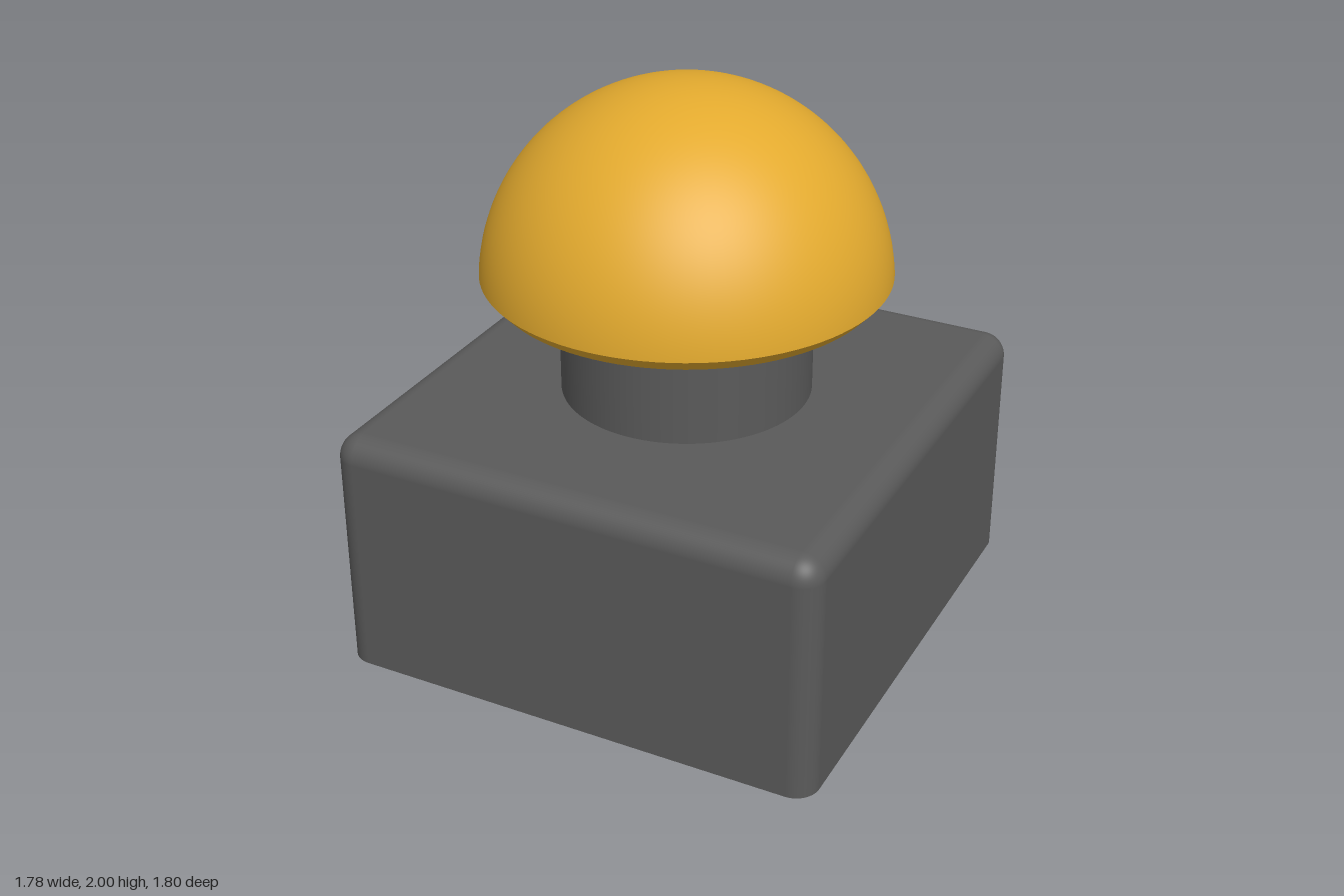
import * as THREE from 'three';
import { RoundedBoxGeometry } from 'three/addons/geometries/RoundedBoxGeometry.js';

const DARK = new THREE.MeshStandardMaterial({ color: 0x5a5a5a });
const GOLD = new THREE.MeshStandardMaterial({ color: 0xe3aa2e });

function addPart(parent, name, geometry, material, y) {
  const mesh = new THREE.Mesh(geometry, material);
  mesh.name = name;
  mesh.position.y = y;
  parent.add(mesh);
  return mesh;
}

// Block with rounded top and upright edges; the lower rounding is pressed flat
function baseGeometry(width, height, depth, radius) {
  const geo = new RoundedBoxGeometry(width, height + radius, depth, 8, radius);
  geo.translate(0, (height - radius) / 2, 0);
  const pos = geo.attributes.position;
  const normal = geo.attributes.normal;
  for (let i = 0; i < pos.count; i += 3) {
    const corners = [i, i + 1, i + 2];
    const isBottom = corners.every((v) => pos.getY(v) < 1e-4);
    for (const v of corners) {
      if (pos.getY(v) < 1e-4) pos.setY(v, 0);
      if (isBottom) normal.setXYZ(v, 0, -1, 0);
    }
  }
  return geo;
}

export function createModel() {
  const model = new THREE.Group();
  model.name = 'pushButton';

  addPart(model, 'base', baseGeometry(1.78, 0.89, 1.8, 0.085), DARK, 0);

  // Stem between base and cap
  addPart(model, 'stem', new THREE.CylinderGeometry(0.44, 0.44, 0.4, 96), DARK, 1.09);

  // Domed cap with a chamfered lower rim
  const radius = 0.71, bottom = 1.29, chamfer = 0.045;
  const rimRadius = Math.sqrt(radius ** 2 - chamfer ** 2);
  const cap = new THREE.Group();
  cap.name = 'cap';
  model.add(cap);
  const dome = new THREE.SphereGeometry(radius, 96, 40, 0, Math.PI * 2, 0, Math.acos(chamfer / radius));
  addPart(cap, 'dome', dome, GOLD, bottom);
  const rim = new THREE.CylinderGeometry(rimRadius, 0.667, chamfer, 96);
  addPart(cap, 'chamferedRim', rim, GOLD, bottom + chamfer / 2);

  return model;
}
